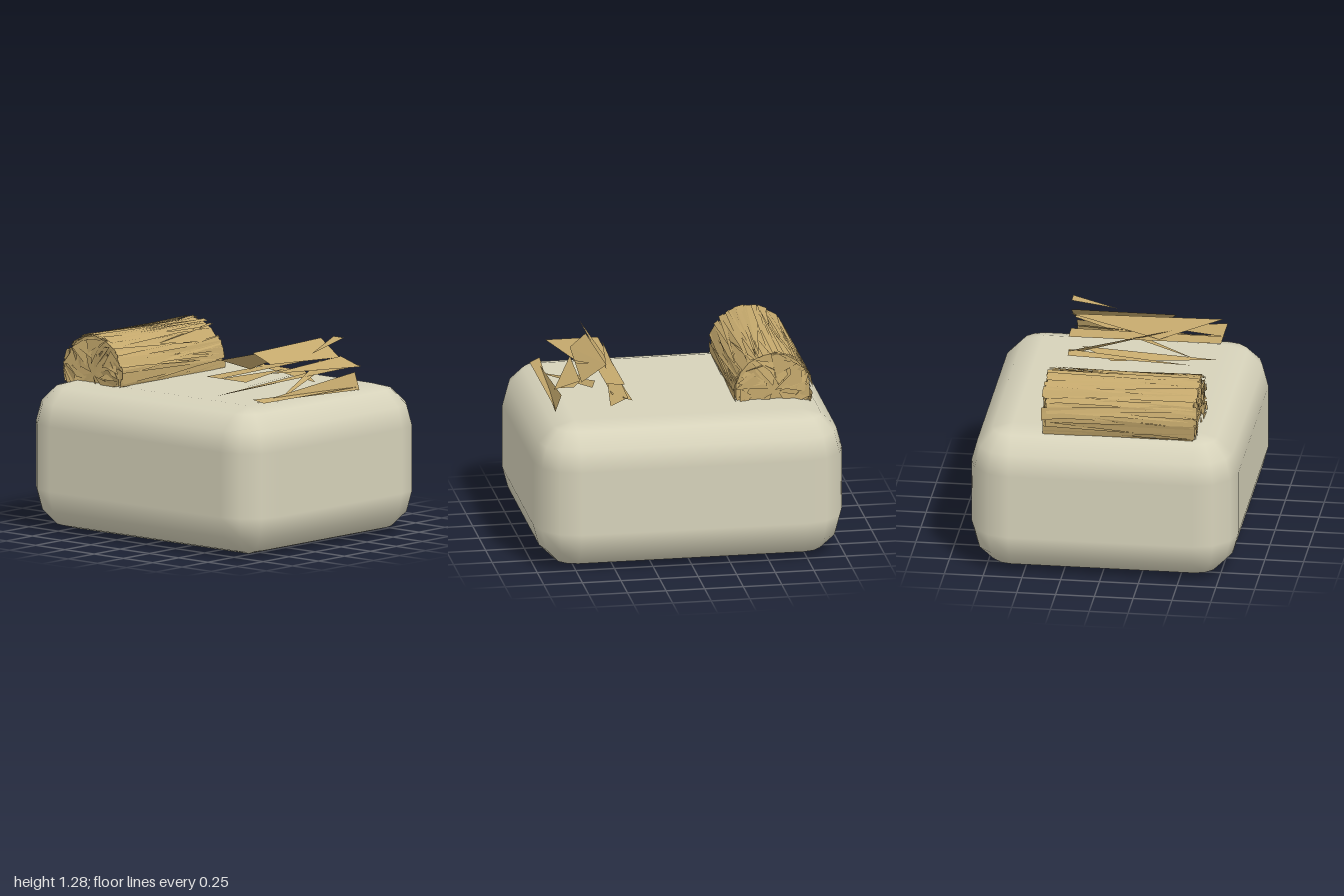
import * as THREE from 'three';

const HALF = { x: 1, y: 0.48, z: 0.86 }, BEVEL = 0.27;
const ROLL = { x: 0.59, y: 1.02, r: 0.26, back: -0.4, front: 0.61 };

// Rounded block: a sphere whose octants are pulled apart, three steps per bevel
function roundedBlock() {
  const g = new THREE.SphereGeometry(1, 16, 9);
  const pos = g.attributes.position, nor = g.attributes.normal;
  for (let j = 0; j <= 9; j++) for (let i = 0; i <= 16; i++) {
    const k = j * 17 + i;
    if (j === 0 || j === 9) { // centres of the flat top and bottom
      const s = j === 0 ? 1 : -1;
      pos.setXYZ(k, 0, s * HALF.y, 0);
      nor.setXYZ(k, 0, s, 0);
      continue;
    }
    const quad = Math.floor(i / 4) % 4;
    const a = quad * Math.PI / 2 + (i % 4) * Math.PI / 6;
    const mid = quad * Math.PI / 2 + Math.PI / 4;
    const t = (j <= 4 ? j - 1 : j - 2) * Math.PI / 6;
    const n = new THREE.Vector3(-Math.cos(a) * Math.sin(t), Math.cos(t), Math.sin(a) * Math.sin(t));
    nor.setXYZ(k, n.x, n.y, n.z);
    pos.setXYZ(k,
      -Math.sign(Math.cos(mid)) * (HALF.x - BEVEL) + n.x * BEVEL,
      (j <= 4 ? 1 : -1) * (HALF.y - BEVEL) + n.y * BEVEL,
      Math.sign(Math.sin(mid)) * (HALF.z - BEVEL) + n.z * BEVEL);
  }
  return g;
}

// Small seeded generator
function seeded(seed) {
  return () => (seed = (seed * 16807) % 2147483647) / 2147483647;
}

// Loose triangles from a list of corner vectors
function triangles(points) {
  return new THREE.BufferGeometry().setFromPoints(points);
}

// Thin slivers running along the roll, plus chips over both ragged ends
function rollSlivers() {
  const rnd = seeded(4711), pts = [];
  const at = (a, r, z) => new THREE.Vector3(Math.cos(a) * r, Math.sin(a) * r, z);
  const { r, back, front } = ROLL;
  for (let i = 0; i < 130; i++) {
    const a = rnd() * Math.PI * 2, flip = rnd() < 0.5;
    const z0 = (flip ? front : back) + (flip ? -1 : 1) * rnd() * 0.04;
    const z1 = (flip ? back : front) + (flip ? 1 : -1) * rnd() * (i % 3 ? 0.05 : 0.4);
    const b = a + (rnd() - 0.5) * 0.7;
    pts.push(at(a, r - rnd() * 0.015, z0), at(a + 0.08 + rnd() * 0.25, r - rnd() * 0.015, z0),
      at(b, r - rnd() * 0.02, z1));
  }
  for (let i = 0; i < 110; i++) {
    const z = i % 2 ? front : back, s = i % 2 ? -1 : 1;
    const a = rnd() * Math.PI * 2;
    const chip = () => z + s * rnd() * 0.04;
    pts.push(at(a, r * (0.85 + rnd() * 0.15), chip()), at(a + 0.3 + rnd() * 0.5, r * (0.5 + rnd() * 0.48), chip()),
      at(a + rnd() * 0.8, r * rnd() * 0.7, chip()));
  }
  return triangles(pts);
}

// Sparse remains of the second roll, each sliver a triangle of [x, y, z] corners
const REMAINS = [
  [[0.49, 1.25, -0.38], [0.65, 1.14, -0.38], [0.62, 1.17, 0.25]],
  [[0.49, 1.25, -0.38], [0.62, 1.17, 0.25], [0.51, 1.24, 0.3]],
  [[0.49, 1.22, -0.38], [0.5, 1.23, 0.6], [0.4, 1.11, 0.2]],
  [[0.37, 1.11, -0.38], [0.49, 1.12, -0.38], [0.5, 1.11, 0.6]],
  [[0.37, 1.11, -0.38], [0.5, 1.11, 0.6], [0.38, 1.11, 0.6]],
  [[0.5, 1.11, 0.6], [0.72, 1.11, 0.6], [0.6, 1.12, 0.1]],
  [[0.59, 1.27, -0.39], [0.68, 1.27, -0.39], [0.66, 1.2, -0.1]],
  [[0.66, 1.15, -0.38], [0.83, 1.1, -0.38], [0.62, 1.11, 0.25]],
  [[0.7, 1.11, -0.38], [0.83, 1.11, -0.38], [0.4, 0.98, 0.45]],
  [[0.32, 1.0, -0.38], [0.38, 1.02, -0.38], [0.33, 0.97, 0.42]],
  [[0.35, 1.02, -0.38], [0.46, 0.96, -0.36], [0.4, 1.18, 0.3]],
  [[0.34, 0.97, -0.1], [0.42, 0.98, 0.58], [0.44, 1.02, -0.3]],
  [[0.82, 0.97, -0.38], [0.83, 0.98, 0.55], [0.76, 1.0, 0.58]],
  [[0.78, 1.06, -0.38], [0.82, 0.95, -0.38], [0.78, 0.98, 0.57]],
  [[0.55, 1.12, -0.3], [0.58, 1.1, -0.38], [0.8, 0.96, 0.4]],
];

export function createModel() {
  const model = new THREE.Group();
  const blockMat = new THREE.MeshStandardMaterial({ color: 0xd6d2ba });
  const strawMat = new THREE.MeshStandardMaterial({ color: 0xc4a86c, flatShading: true, side: THREE.DoubleSide });
  const add = (parent, name, geometry, material) => {
    if (!geometry.attributes.normal) geometry.computeVertexNormals();
    const mesh = new THREE.Mesh(geometry, material);
    mesh.name = name;
    parent.add(mesh);
    return mesh;
  };

  // Block
  add(model, 'block', roundedBlock(), blockMat).position.y = HALF.y;

  // Full roll on the right: faceted core wrapped in slivers
  const roll = new THREE.Group();
  roll.name = 'rightRoll';
  roll.position.set(-ROLL.x, ROLL.y, 0);
  const length = ROLL.front - ROLL.back - 0.06;
  const core = new THREE.CylinderGeometry(0.243, 0.243, length, 18).rotateX(Math.PI / 2);
  add(roll, 'rollCore', core, strawMat).position.z = (ROLL.front + ROLL.back) / 2;
  add(roll, 'rollSlivers', rollSlivers(), strawMat);
  model.add(roll);

  // Broken roll on the left
  const corners = REMAINS.flat().map(p => new THREE.Vector3(...p));
  add(model, 'leftRollRemains', triangles(corners), strawMat);

  return model;
}
